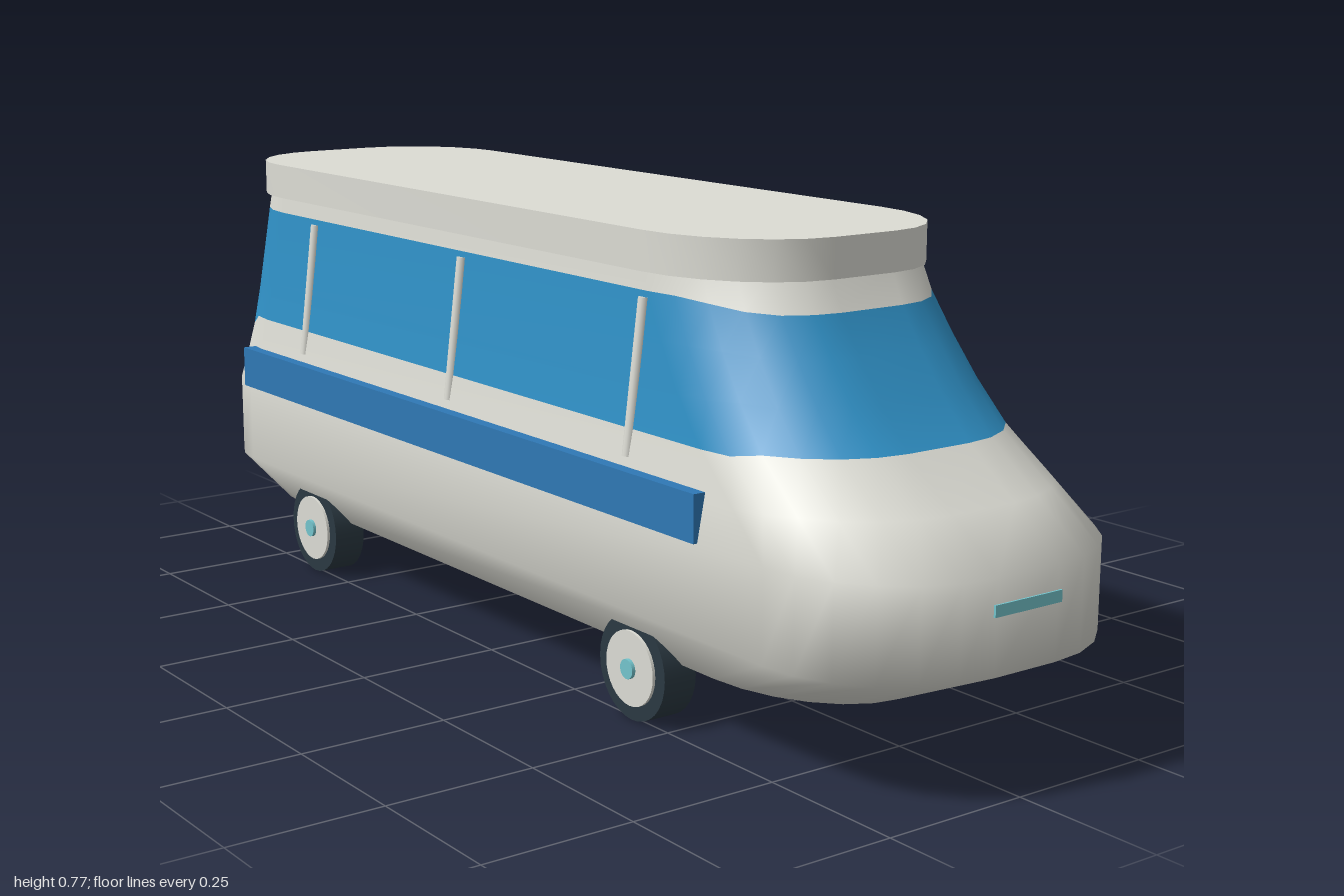
import * as THREE from 'three';
import { toCreasedNormals } from 'three/addons/utils/BufferGeometryUtils.js';

const mat = (color) => new THREE.MeshStandardMaterial({ color });
const SHELL = mat(0xdcdcd4), GLASS = mat(0x2f8fc4), STRIPE = mat(0x2f78b5);
const RUBBER = mat(0x2b3942), TEAL = mat(0x74c4cc);

// Body sections: height, half width, front z, back z
const SECTIONS = [
  [0.105, 0.225, 0.81, -0.93],
  [0.19, 0.29, 1.0, -1.0],
  [0.335, 0.29, 1.0, -1.0],
  [0.42, 0.274, 0.89, -0.975],
  [0.475, 0.264, 0.815, -0.966],
  [0.56, 0.252, 0.735, -0.957],
  [0.66, 0.239, 0.665, -0.947],
  [0.715, 0.234, 0.64, -0.935],
];
const STEPS = 6; // segments per rounded corner

function sectionAt(y) {
  let i = 1;
  while (i < SECTIONS.length - 1 && SECTIONS[i][0] < y) i++;
  const a = SECTIONS[i - 1], b = SECTIONS[i];
  const t = (y - a[0]) / (b[0] - a[0]);
  return a.map((v, k) => v + (b[k] - v) * t);
}

// Plan outline with rounded ends, as [x, z] points
function outline(halfWidth, front, back) {
  const points = [], flat = 0.06;
  for (let q = 0; q < 4; q++) {
    for (let j = 0; j <= STEPS; j++) {
      const a = (q + j / STEPS) * Math.PI / 2;
      const sx = q === 0 || q === 3 ? 1 : -1;
      const depth = q < 2 ? 0.23 : 0.2;
      const cz = q < 2 ? front - depth : back + depth;
      points.push([sx * flat + (halfWidth - flat) * Math.cos(a), cz + depth * Math.sin(a)]);
    }
  }
  return points;
}

function addMesh(parent, name, geometry, material, x = 0, y = 0, z = 0) {
  const mesh = new THREE.Mesh(geometry, material);
  mesh.name = name;
  mesh.position.set(x, y, z);
  parent.add(mesh);
  return mesh;
}

// One lofted skin, divided by rows into lower body, window band and upper rim
function buildBody(group) {
  const reference = outline(...sectionAt(0.47).slice(1));
  const n = reference.length;
  const sill = (z) => 0.468 + (z > 0.7 ? 0.007 : 0) - 0.05 * THREE.MathUtils.smoothstep(-z, 0.82, 0.92);
  const head = (z) => 0.677 - 0.018 * THREE.MathUtils.smoothstep(z, 0.65, 0.8);
  const band = (t) => (z) => sill(z) + (head(z) - sill(z)) * t;
  const rows = [() => 0.105, () => 0.19, () => 0.335, (z) => (0.335 + sill(z)) / 2,
    band(0), band(0.33), band(0.67), band(1), () => 0.715];

  const positions = [];
  for (const row of rows) {
    for (let i = 0; i < n; i++) {
      const y = row(reference[i][1]);
      const [x, z] = outline(...sectionAt(y).slice(1))[i];
      positions.push(x, y, z);
    }
  }
  const rowIndices = (from, to) => {
    const index = [];
    for (let r = from; r < to; r++) {
      for (let i = 0; i < n; i++) {
        const a = r * n + i, b = r * n + (i + 1) % n;
        index.push(a, a + n, b, b, a + n, b + n);
      }
    }
    return index;
  };
  const skin = new THREE.BufferGeometry();
  skin.setAttribute('position', new THREE.Float32BufferAttribute(positions, 3));
  skin.setIndex(rowIndices(0, rows.length - 1));
  skin.computeVertexNormals();
  const slice = (from, to) => skin.clone().setIndex(rowIndices(from, to));
  addMesh(group, 'lowerBody', slice(0, 4), SHELL);
  addMesh(group, 'windowBand', slice(4, 7), GLASS);
  addMesh(group, 'upperRim', slice(7, 8), SHELL);

  // Flat floor
  const floor = outline(...SECTIONS[0].slice(1)).map(([x, z]) => new THREE.Vector2(x, z));
  const floorGeometry = new THREE.ShapeGeometry(new THREE.Shape(floor));
  floorGeometry.rotateX(Math.PI / 2);
  addMesh(group, 'floor', floorGeometry, SHELL, 0, 0.105, 0);
}

function buildRoof(group) {
  const points = outline(0.242, 0.648, -0.947).map(([x, z]) => new THREE.Vector2(x, -z));
  const slab = new THREE.ExtrudeGeometry(new THREE.Shape(points), { depth: 0.063, bevelEnabled: false });
  slab.rotateX(-Math.PI / 2);
  addMesh(group, 'roof', toCreasedNormals(slab, 0.6), SHELL, 0, 0.706, 0);
}

function buildWheel(side, z) {
  const wheel = new THREE.Group();
  wheel.name = 'wheel';
  const disc = (name, radius, inner, outer, material) => {
    const geometry = new THREE.CylinderGeometry(radius, radius, outer - inner, 32);
    geometry.rotateZ(Math.PI / 2);
    addMesh(wheel, name, geometry, material, side * (inner + outer) / 2);
  };
  disc('tyre', 0.085, 0.2, 0.26, RUBBER);
  disc('hubcap', 0.061, 0.25, 0.265, SHELL);
  disc('hubCentre', 0.016, 0.25, 0.271, TEAL);
  wheel.position.set(0, 0.085, z);
  return wheel;
}

export function createModel() {
  const model = new THREE.Group();
  model.name = 'bus';
  buildBody(model);
  buildRoof(model);

  for (const side of [1, -1]) {
    addMesh(model, 'sideStripe', new THREE.BoxGeometry(0.027, 0.075, 1.43), STRIPE, side * 0.2835, 0.373, -0.095);
    // Window posts leaning with the glass
    for (const z of [0.42, -0.095, -0.61]) {
      const low = new THREE.Vector3(side * 0.269, 0.425, z);
      const high = new THREE.Vector3(side * 0.239, 0.667, z);
      const post = addMesh(model, 'windowPost', new THREE.CylinderGeometry(0.009, 0.009, low.distanceTo(high), 12), SHELL);
      post.position.copy(low).lerp(high, 0.5);
      post.quaternion.setFromUnitVectors(new THREE.Vector3(0, 1, 0), high.sub(low).normalize());
    }
    for (const z of [0.42, -0.61]) model.add(buildWheel(side, z));
  }

  addMesh(model, 'frontPlate', new THREE.BoxGeometry(0.132, 0.018, 0.02), TEAL, 0, 0.288, 0.993);
  return model;
}
